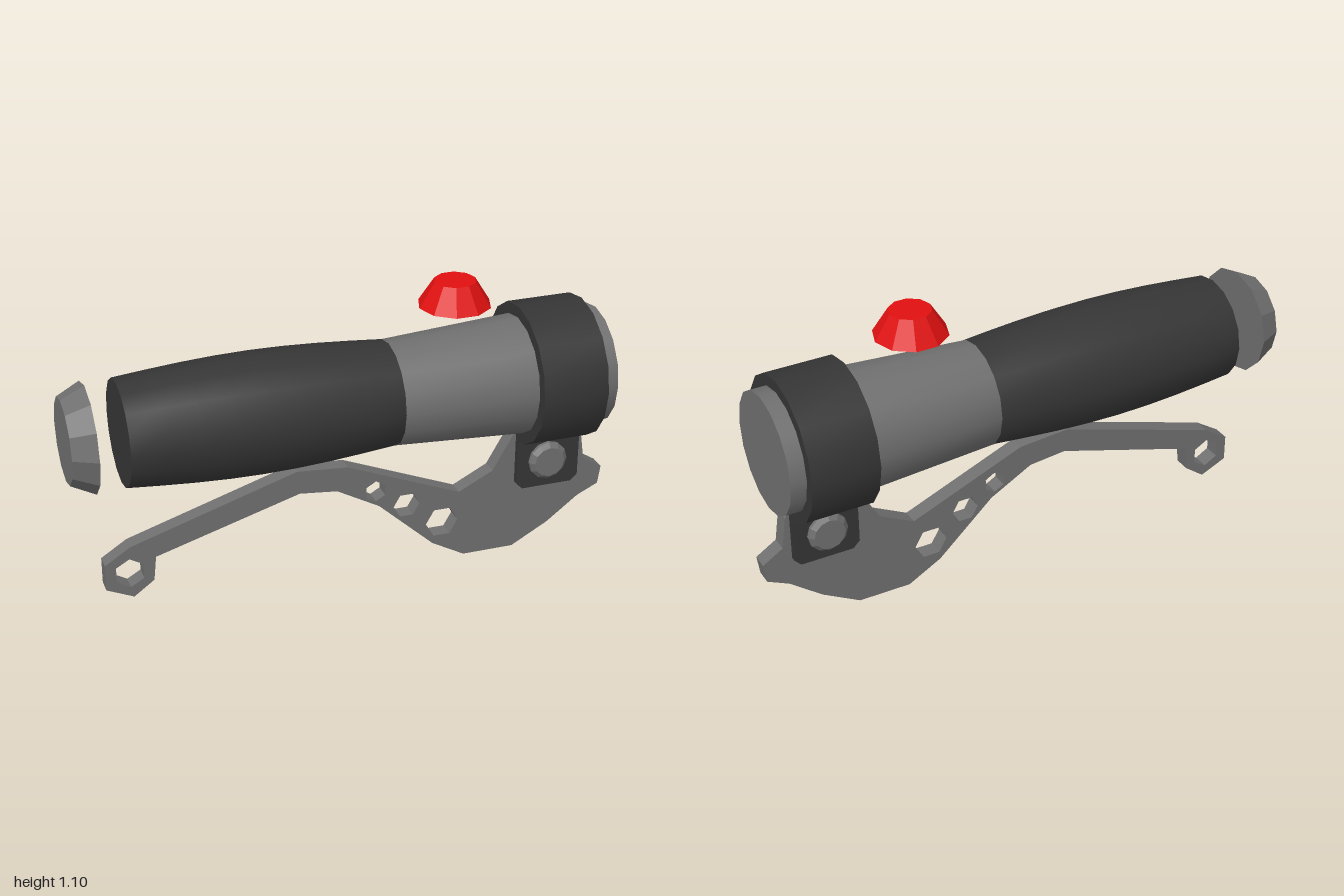
import * as THREE from 'three';
import { toCreasedNormals } from 'three/addons/utils/BufferGeometryUtils.js';

const mat = (name, color) => Object.assign(new THREE.MeshStandardMaterial({ color }), { name });

export function createModel() {
  const rubber = mat('darkRubber', 0x353535);
  const metal = mat('greyMetal', 0x6f6f6f);
  const red = mat('redButton', 0xe01010);
  const group = new THREE.Group();
  group.name = 'handlebarGrip';
  const AXIS_Y = 0.703;

  const add = (name, geometry, material, x = 0, y = 0, z = 0) => {
    const mesh = new THREE.Mesh(geometry, material);
    mesh.name = name;
    mesh.position.set(x, y, z);
    group.add(mesh);
    return mesh;
  };

  // Closed solid turned about the handlebar axis; profile is [x, radius]
  const turned = (profile, sides, crease) => {
    const closed = [[profile[0][0], 0], ...profile, [profile.at(-1)[0], 0]];
    const geo = new THREE.LatheGeometry(closed.map(([x, r]) => new THREE.Vector2(r, x)), sides);
    geo.rotateZ(-Math.PI / 2);
    return toCreasedNormals(geo, crease);
  };

  // Flat outline with optional holes, centred in depth
  const plate = (points, depth, holes = []) => {
    const shape = new THREE.Shape(points.map(([x, y]) => new THREE.Vector2(x, y)));
    for (const [x, y, r, turn] of holes) {
      const hex = [];
      for (let i = 0; i < 6; i++) {
        const a = turn - i * Math.PI / 3;
        hex.push(new THREE.Vector2(x + r * Math.cos(a), y + r * Math.sin(a)));
      }
      shape.holes.push(new THREE.Path(hex));
    }
    const geo = new THREE.ExtrudeGeometry(shape, { depth, bevelEnabled: false });
    return geo.translate(0, 0, -depth / 2);
  };

  // Rubber grip with a slight belly
  const grip = [];
  for (let i = 0; i <= 8; i++) {
    const t = i / 8;
    grip.push([-0.81 + 0.97 * t, 0.19 + 0.027 * Math.sin(Math.PI * t)]);
  }
  add('grip', turned(grip, 16, 0.6), rubber, 0, AXIS_Y);

  // Switch housing, clamp collar and detached end cap
  add('switchHousing', turned([[0.16, 0.19], [0.65, 0.219], [0.95, 0.219]], 16, 0.6), metal, 0, AXIS_Y);
  add('clampCollar', turned([[0.648, 0.262], [0.893, 0.262]], 16, 0.6), rubber, 0, AXIS_Y);
  add('endCap', turned([[-1, 0.153], [-0.915, 0.195]], 12, 0.1), metal, 0, AXIS_Y);

  // Floating button
  const button = new THREE.CylinderGeometry(0.075, 0.131, 0.09, 10).rotateY(Math.PI / 2);
  add('button', toCreasedNormals(button, 0.1), red, 0.403, 1.055);

  // Bracket with chamfered lower corners
  add('leverBracket', plate([
    [0.648, 0.275], [0.673, 0.25], [0.868, 0.25], [0.893, 0.275], [0.893, 0.55], [0.648, 0.55],
  ], 0.1), rubber);

  // Pivot bolt with a chamfered head on both sides
  const bolt = turned([[-0.078, 0.058], [-0.062, 0.074], [0.062, 0.074], [0.078, 0.058]], 12, 0.1);
  bolt.rotateY(Math.PI / 2);
  add('pivotBolt', bolt, metal, 0.767, 0.358);

  // Brake lever with hexagonal cut-outs
  const pointUp = Math.PI / 6;
  add('lever', plate([
    [-0.893, 0.11], [-0.795, 0.065], [-0.72, 0.12], [-0.71, 0.212], [-0.18, 0.37], [-0.04, 0.355],
    [0.12, 0.265], [0.33, 0.07], [0.455, 0], [0.65, 0], [0.79, 0.078], [0.91, 0.17],
    [0.99, 0.208], [1, 0.278], [0.925, 0.325], [0.908, 0.445], [0.86, 0.5], [0.66, 0.51],
    [0.56, 0.335], [0.43, 0.268], [0.17, 0.375], [0, 0.445], [-0.19, 0.46], [-0.8, 0.268], [-0.893, 0.208],
  ], 0.06, [
    [-0.805, 0.163, 0.057, pointUp], [0.107, 0.328, 0.041, pointUp],
    [0.226, 0.25, 0.05, 0], [0.365, 0.154, 0.062, 0],
  ]), metal);

  return group;
}
